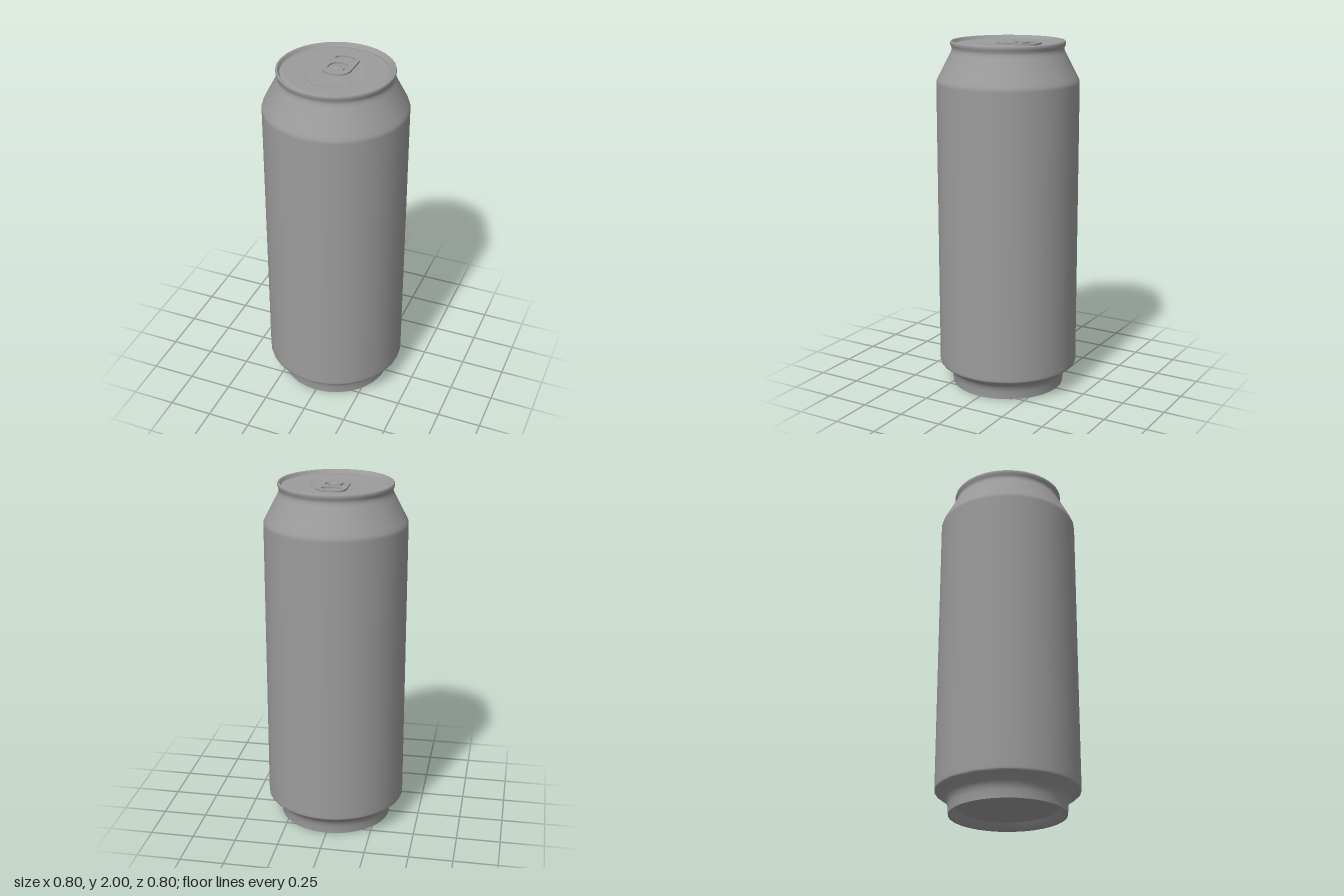
import * as THREE from 'three';
import { toCreasedNormals } from 'three/addons/utils/BufferGeometryUtils.js';

const material = new THREE.MeshStandardMaterial({ color: 0x9c9c9c });
const LID_Y = 1.984, PANEL_Y = 1.981;

function addMesh(group, name, geometry, y = 0) {
  const mesh = new THREE.Mesh(geometry, material);
  mesh.name = name;
  mesh.position.y = y;
  group.add(mesh);
  return mesh;
}

// Lay a shape flat: shape +y becomes -z, extrusion goes up
const flat = (geometry) => geometry.rotateX(-Math.PI / 2);

// Teardrop outline made of two arcs, shrunk evenly by an inset
function teardrop(inset, Type = THREE.Shape) {
  const a = Math.asin(1 / 3);
  const shape = new Type();
  shape.absarc(0, 0.1, 0.1 - inset, a, Math.PI - a);
  shape.absarc(0, -0.05, 0.152 - inset, Math.PI - a, Math.PI * 2 + a);
  shape.closePath();
  return shape;
}

// Tab outline, rounder at the nose than at the finger end
function tabOutline(x, y0, y1, r0, r1) {
  const s = new THREE.Shape();
  s.absarc(x - r1, y1 - r1, r1, 0, Math.PI / 2);
  s.absarc(-x + r1, y1 - r1, r1, Math.PI / 2, Math.PI);
  s.absarc(-x + r0, y0 + r0, r0, Math.PI, Math.PI * 1.5);
  s.absarc(x - r0, y0 + r0, r0, Math.PI * 1.5, Math.PI * 2);
  s.closePath();
  return s;
}

// Sloped wall between two outlines with equal point counts
function slope(outer, inner, yOuter, yInner) {
  const a = outer.getPoints(10), b = inner.getPoints(10);
  const positions = [], index = [];
  a.forEach((p, i) => {
    positions.push(p.x, yOuter, -p.y, b[i].x, yInner, -b[i].y);
    const j = (i + 1) % a.length;
    index.push(2 * i, 2 * j, 2 * i + 1, 2 * j, 2 * j + 1, 2 * i + 1);
  });
  const geometry = new THREE.BufferGeometry();
  geometry.setAttribute('position', new THREE.Float32BufferAttribute(positions, 3));
  geometry.setIndex(index);
  geometry.computeVertexNormals();
  return geometry;
}

export function createModel() {
  const can = new THREE.Group();
  can.name = 'can';

  // Body: recessed base, foot, wall, shoulder, rolled rim and lid groove
  const profile = [
    [0, 0.043], [0.28, 0.043], [0.308, 0.004], [0.315, 0], [0.324, 0],
    [0.326, 0.045], [0.332, 0.07], [0.345, 0.09], [0.394, 0.125],
    [0.399, 0.13], [0.4, 0.137], [0.4, 0.15],
    [0.4, 1.765], [0.4, 1.776], [0.397, 1.786], [0.388, 1.805],
    [0.32, 1.935], [0.313, 1.952], [0.313, 1.966],
    [0.319, 1.976], [0.321, 1.988], [0.32, 1.997], [0.317, 2], [0.311, 2],
    [0.307, 1.996], [0.303, 1.983], [0.299, 1.979], [0.294, 1.979],
    [0.288, 1.983], [0.282, LID_Y], [0.27, LID_Y],
  ].map(([x, y]) => new THREE.Vector2(x, y));
  addMesh(can, 'body', toCreasedNormals(new THREE.LatheGeometry(profile, 32), 0.78));

  // Lid with a shallow teardrop recess
  const lid = new THREE.Shape();
  lid.absarc(0, 0, 0.27, 0, Math.PI * 2);
  lid.holes.push(teardrop(0, THREE.Path));
  addMesh(can, 'lid', flat(new THREE.ShapeGeometry(lid, 16)), LID_Y);
  addMesh(can, 'recessWall', slope(teardrop(0), teardrop(0.012), LID_Y, PANEL_Y));
  addMesh(can, 'recessFloor', flat(new THREE.ShapeGeometry(teardrop(0.012), 10)), PANEL_Y);

  // Pull tab with a finger hole and a curved slot round the tongue
  const tab = tabOutline(0.08, -0.06, 0.192, 0.073, 0.056);
  const finger = new THREE.Path();
  finger.absellipse(0, 0.133, 0.058, 0.033, -0.93, Math.PI + 0.93);
  finger.closePath();
  const slot = new THREE.Path();
  slot.moveTo(0.053, 0.007);
  slot.absarc(0.013, 0.038, 0.04, 0, Math.PI / 2);
  slot.absarc(-0.013, 0.038, 0.04, Math.PI / 2, Math.PI);
  slot.lineTo(-0.053, 0.007);
  slot.absarc(-0.0445, 0.007, 0.0085, Math.PI, Math.PI * 2);
  slot.absarc(-0.006, 0.025, 0.03, Math.PI, Math.PI / 2, true);
  slot.absarc(0.006, 0.025, 0.03, Math.PI / 2, 0, true);
  slot.lineTo(0.036, 0.007);
  slot.absarc(0.0445, 0.007, 0.0085, Math.PI, Math.PI * 2);
  tab.holes.push(finger, slot);
  const tabGeometry = new THREE.ExtrudeGeometry(tab, {
    depth: 0.01, bevelEnabled: false, curveSegments: 6,
  });
  addMesh(can, 'pullTab', toCreasedNormals(flat(tabGeometry), 0.7), PANEL_Y + 0.003);

  // Low domed rivet holding the tab
  const dome = [[0.026, 0], [0.022, 0.002], [0.014, 0.004], [0, 0.0045]]
    .map(([x, y]) => new THREE.Vector2(x, y));
  const rivet = addMesh(can, 'rivet', new THREE.LatheGeometry(dome, 16), PANEL_Y + 0.013);
  rivet.position.z = -0.02;

  return can;
}
